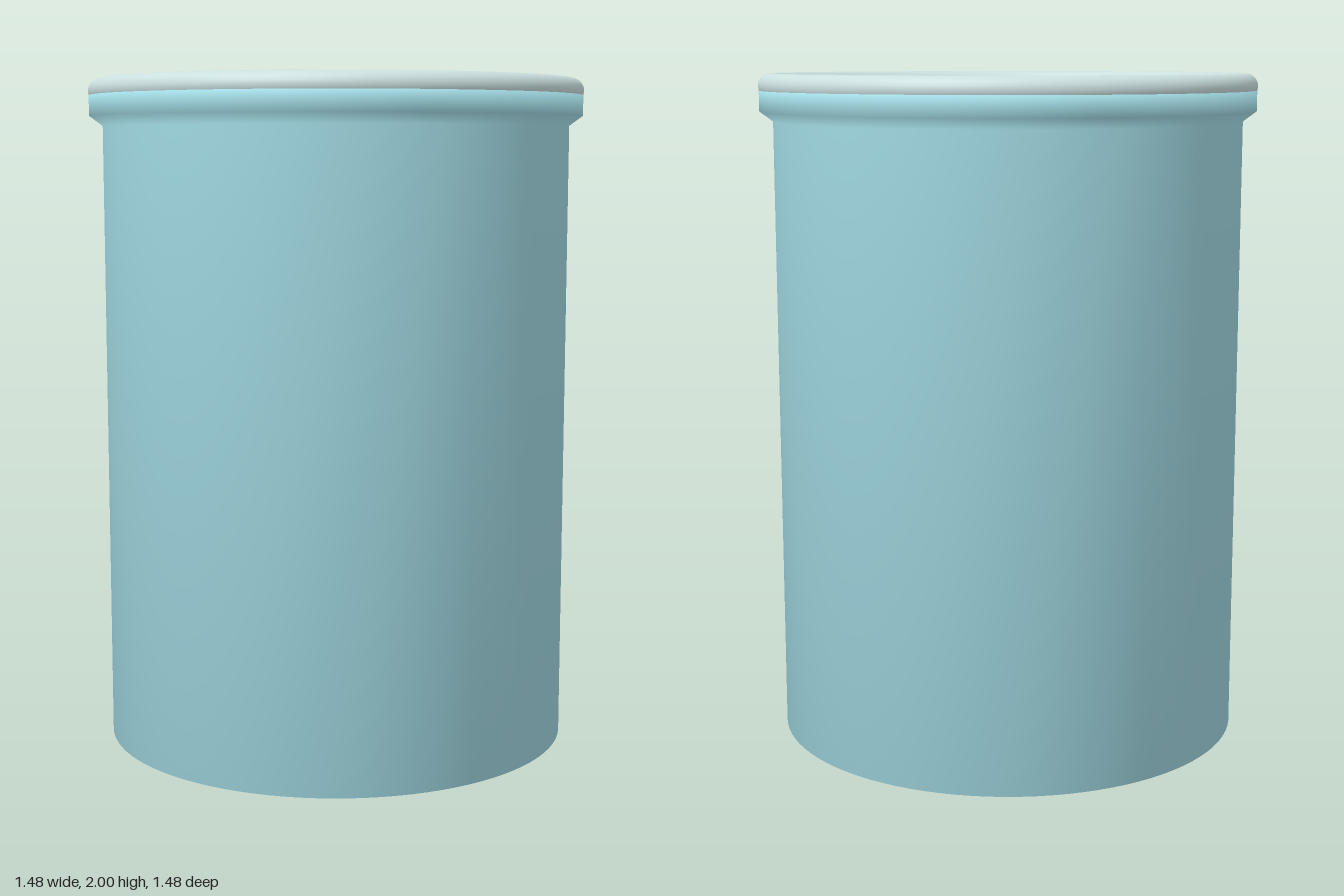
import * as THREE from 'three';
import { mergeVertices } from 'three/addons/utils/BufferGeometryUtils.js';

const SEGMENTS = 96;

// Turned solid whose normals blend over the whole surface, seam and poles included
function smoothLathe(profile) {
  const points = profile.map(([r, y]) => new THREE.Vector2(r, y));
  const lathe = new THREE.LatheGeometry(points, SEGMENTS);
  lathe.deleteAttribute('normal');
  lathe.deleteAttribute('uv');
  const geometry = mergeVertices(lathe, 1e-4);
  geometry.computeVertexNormals();
  return geometry;
}

export function createModel() {
  const group = new THREE.Group();
  group.name = 'canister';

  const paleBlue = new THREE.MeshStandardMaterial({ color: 0xa2dae4 });
  paleBlue.name = 'paleBlue';
  const paleGrey = new THREE.MeshStandardMaterial({ color: 0xcbdfdf });
  paleGrey.name = 'paleGrey';

  // Body: flat base, straight wall, flared collar, then down the inside to the floor
  const body = new THREE.Mesh(smoothLathe([
    [0, 0], [0.70, 0], [0.70, 1.86],
    [0.74, 1.89], [0.74, 1.95], [0.67, 1.95],
    [0.67, 1.89], [0.63, 1.86], [0.63, 0.07], [0, 0.07],
  ]), paleBlue);
  body.name = 'body';
  group.add(body);

  // Rounded bead around the mouth
  const rim = new THREE.Mesh(new THREE.TorusGeometry(0.705, 0.037, 20, SEGMENTS), paleGrey);
  rim.name = 'rim';
  rim.rotation.x = Math.PI / 2;
  rim.position.y = 1.963;
  group.add(rim);

  return group;
}
